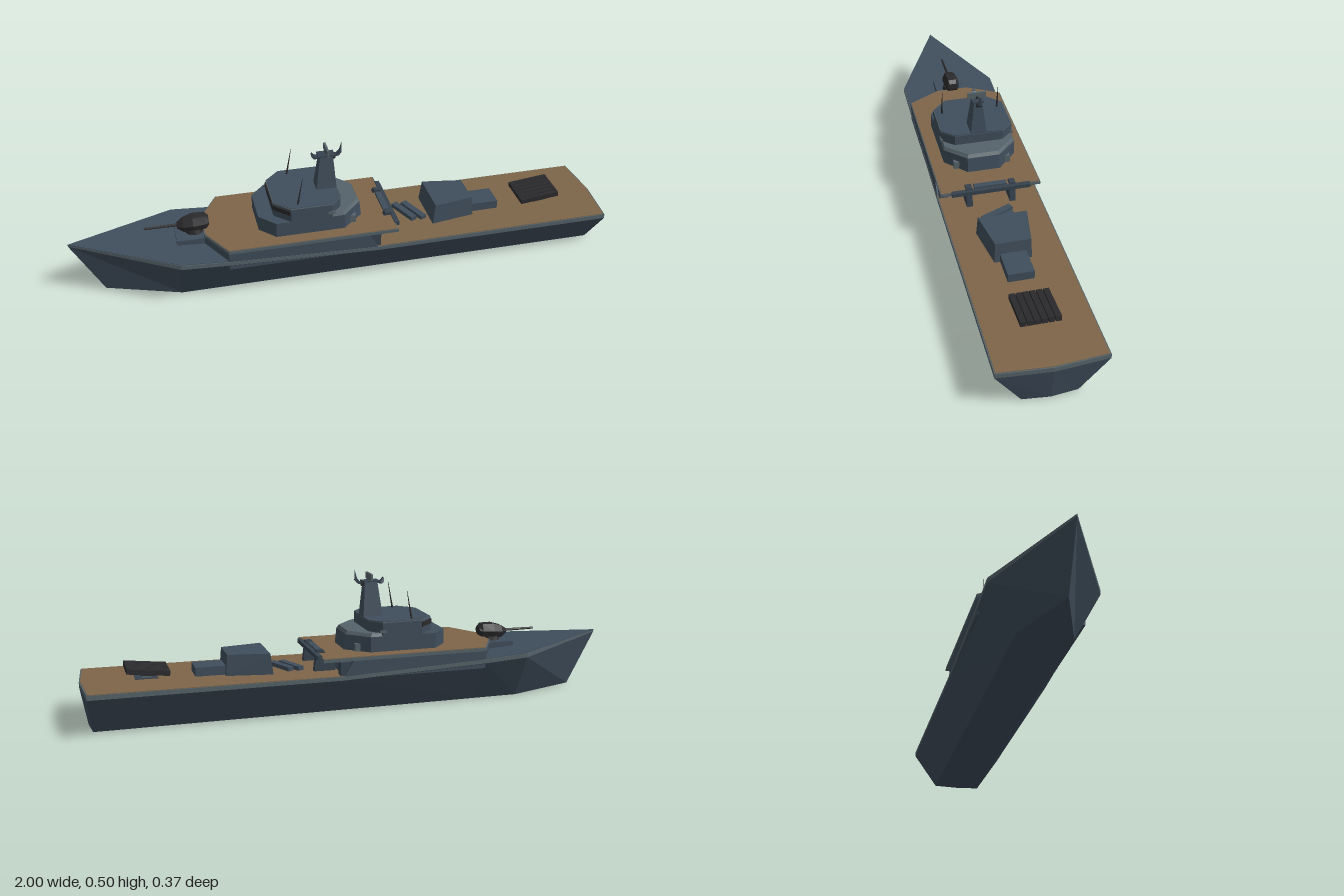
import * as THREE from 'three';

const paint = (color) => new THREE.MeshStandardMaterial({ color, flatShading: true });

export function createModel() {
  const ship = new THREE.Group();
  const grey = paint(0x3f4d5b), light = paint(0x55636a), wood = paint(0x7d6549);
  const dark = paint(0x2b2a2c), steel = paint(0x36424e);

  const add = (name, geometry, material, x = 0, y = 0, z = 0) => {
    const mesh = new THREE.Mesh(geometry, material);
    mesh.name = name;
    mesh.position.set(x, y, z);
    ship.add(mesh);
    return mesh;
  };
  // Box given by its limits on each axis
  const box = (name, mat, x0, x1, y0, y1, z0, z1) => add(name,
    new THREE.BoxGeometry(x1 - x0, y1 - y0, z1 - z0), mat, (x0 + x1) / 2, (y0 + y1) / 2, (z0 + z1) / 2);

  // Skin between equal-length rings of points, closed by a fan at each end
  const loft = (rings) => {
    const pos = [], n = rings[0].length;
    const tri = (a, b, c) => pos.push(...a, ...b, ...c);
    for (let i = 0; i + 1 < rings.length; i++) {
      for (let j = 0; j < n; j++) {
        const k = (j + 1) % n, [r, s] = [rings[i], rings[i + 1]];
        tri(r[j], r[k], s[k]);
        tri(r[j], s[k], s[j]);
      }
    }
    const first = rings[0], last = rings[rings.length - 1];
    for (let j = 1; j + 1 < n; j++) {
      tri(first[0], first[j + 1], first[j]);
      tri(last[0], last[j], last[j + 1]);
    }
    const g = new THREE.BufferGeometry();
    g.setAttribute('position', new THREE.Float32BufferAttribute(pos, 3));
    g.computeVertexNormals();
    return g;
  };
  // Upright block from a half outline [x, z] listed bow to stern, mirrored across z
  const outline = (half, y) => [...half.map(([x, z]) => [x, y, z]),
    ...half.slice().reverse().map(([x, z]) => [x, y, -z])];
  const block = (name, mat, half, y0, y1, top = half) =>
    add(name, loft([outline(half, y0), outline(top, y1)]), mat);

  // Hull stations: keel x, rim x, keel half width, rim half width, rim bottom, rim top
  const stations = [
    [-0.89, -1, 0, 0, 0.203, 0.21],
    [-0.62, -0.62, 0.093, 0.185, 0.168, 0.185],
    [-0.45, -0.45, 0.093, 0.185, 0.158, 0.173],
    [0.1, 0.1, 0.093, 0.185, 0.136, 0.15],
    [0.965, 0.985, 0.093, 0.185, 0.138, 0.155],
    [0.975, 1, 0, 0, 0.138, 0.155],
  ];
  add('hull', loft(stations.map(([k, x, b, w, r]) =>
    [[x, r, w], [k, 0, b], [k, 0, -b], [x, r, -w]])), grey);
  add('hullRim', loft(stations.map(([, x, , w, r, t]) =>
    [[x, t, w], [x, r, w], [x, r, -w], [x, t, -w]])), light);
  add('foreDeck', loft(stations.slice(0, 3).map(([, x, , w, , t]) => {
    const h = Math.max(0, w - 0.003);
    return [[x, t + 0.002, h], [x, t - 0.002, h], [x, t - 0.002, -h], [x, t + 0.002, -h]];
  })), grey);
  add('aftDeck', loft([[0.06, 0.15, 0.181], [0.981, 0.155, 0.181], [0.995, 0.155, 0]].map(([x, y, h]) =>
    [[x, y + 0.002, h], [x, y - 0.002, h], [x, y - 0.002, -h], [x, y + 0.002, -h]])), wood);

  // Raised midship deck with its overhang
  block('midshipWall', grey, [[-0.52, 0.06], [-0.45, 0.184], [0.1, 0.184]], 0.14, 0.206,
    [[-0.52, 0.06], [-0.45, 0.184], [0.06, 0.184]]);
  block('midshipDeckEdge', light, [[-0.52, 0.06], [-0.45, 0.185], [0.17, 0.185]], 0.205, 0.217);
  block('midshipDeck', wood, [[-0.516, 0.06], [-0.448, 0.182], [0.167, 0.182]], 0.214, 0.219);
  box('deckEndBar', steel, 0.165, 0.183, 0.207, 0.222, -0.145, 0.145);
  box('deckLocker', grey, 0.145, 0.167, 0.217, 0.228, -0.06, 0.06);
  for (const s of [-1, 1]) {
    const z = s * 0.08;
    const plate = [[0.1, 0.15], [0.18, 0.15], [0.17, 0.23], [0.145, 0.23], [0.13, 0.205], [0.11, 0.205]];
    const bracket = new THREE.ExtrudeGeometry(
      new THREE.Shape(plate.map(([x, y]) => new THREE.Vector2(x, y))), { depth: 0.022, bevelEnabled: false });
    add('overhangBracket', bracket, steel, 0, 0, z - 0.011);
    box('wallDoor', steel, 0.07, 0.106, 0.152, 0.2, s * 0.162 - 0.016, s * 0.162 + 0.016);
    box('sideLocker', light, -0.01, 0.03, 0.218, 0.248, s * 0.095 - 0.011, s * 0.095 + 0.011);
    box('sideLamp', light, -0.08, -0.055, 0.288, 0.297, s * 0.134 - 0.004, s * 0.134 + 0.004);
  }

  // Bridge and superstructure
  block('lowerHouse', grey, [[-0.325, 0.075], [-0.27, 0.135], [-0.02, 0.135], [0.06, 0.06]], 0.217, 0.275,
    [[-0.325, 0.075], [-0.27, 0.135], [-0.02, 0.135], [0.053, 0.06]]);
  block('aftHouseRoof', light, [[-0.1, 0.135], [-0.02, 0.135], [0.053, 0.06]], 0.274, 0.287,
    [[-0.1, 0.13], [-0.025, 0.13], [0.045, 0.055]]);
  const bridge = [[-0.27, 0.08], [-0.215, 0.135], [-0.065, 0.135], [-0.025, 0.09]];
  block('bridge', grey, bridge, 0.274, 0.324);
  block('bridgeRoof', light, bridge, 0.323, 0.327);
  block('bridgeRoofTop', grey, bridge.map(([x, z]) => [x * 0.99, z * 0.98]), 0.326, 0.329);
  block('bridgeWindows', dark, [[-0.273, 0.081], [-0.219, 0.135], [-0.2, 0.12]], 0.301, 0.318);

  // Mast, radar and aerials
  block('mast', grey, [[-0.1, 0.03], [-0.025, 0.03]], 0.327, 0.455, [[-0.083, 0.015], [-0.035, 0.015]]);
  box('mastPlatform', steel, -0.09, -0.028, 0.455, 0.46, -0.02, 0.02);
  box('mastSensor', dark, -0.04, -0.025, 0.44, 0.456, -0.009, 0.009);
  box('radarPost', dark, -0.06, -0.052, 0.458, 0.47, -0.005, 0.005);
  box('radarPanel', light, -0.06, -0.052, 0.462, 0.486, -0.034, 0.034);
  for (const [name, path] of [
    ['foreHorn', [[-0.08, 0.452, 0.01], [-0.1, 0.45, 0.012], [-0.108, 0.457, 0.008], [-0.111, 0.468, 0.003]]],
    ['aftHorn', [[-0.035, 0.45, 0.008], [-0.015, 0.453, 0.008], [-0.004, 0.466, 0.006], [0, 0.5, 0.0005]]],
  ]) {
    const dir = name === 'aftHorn' ? 1 : -1;
    const horn = loft(path.map(([x, y, w]) => {
      const t = Math.min(w, 0.006) * 0.6;
      return [[x - dir * t, y + t, w], [x + dir * t, y - t, w],
        [x + dir * t, y - t, -w], [x - dir * t, y + t, -w]];
    }));
    // Mirrored direction flips the winding, so both sides are shown
    const mat = steel.clone();
    mat.side = THREE.DoubleSide;
    add(name, horn, mat);
  }
  for (const z of [-0.107, 0.107]) {
    const whip = add('whipAerial', new THREE.CylinderGeometry(0.0007, 0.004, 0.107, 5), dark, -0.176, 0.379, z);
    whip.rotation.z = -0.18;
  }

  // Bow gun
  box('gunPlatform', grey, -0.62, -0.515, 0.165, 0.204, -0.06, 0.06);
  add('gunRing', new THREE.CylinderGeometry(0.03, 0.035, 0.016, 10), dark, -0.55, 0.21, 0);
  // Turret sections: x, bottom, top, half width
  add('gunTurret', loft([
    [-0.612, 0.225, 0.243, 0.012], [-0.59, 0.213, 0.257, 0.025], [-0.555, 0.211, 0.267, 0.032],
    [-0.51, 0.214, 0.267, 0.028], [-0.497, 0.23, 0.255, 0.022],
  ].map(([x, b, t, w]) => {
    const m = (b + t) / 2;
    return [[x, t, w * 0.6], [x, m, w], [x, b, w * 0.7], [x, b, -w * 0.7], [x, m, -w], [x, t, -w * 0.6]];
  })), dark);
  const barrel = add('gunBarrel', new THREE.CylinderGeometry(0.004, 0.0055, 0.13, 8), dark, -0.665, 0.236, 0);
  barrel.rotation.z = Math.PI / 2;

  // Aft deckhouse and slanted deck tubes
  block('aftHouse', grey, [[0.33, 0.092], [0.497, 0.066]], 0.15, 0.23, [[0.34, 0.088], [0.49, 0.063]]);
  box('aftHouseAnnex', grey, 0.49, 0.602, 0.15, 0.187, -0.046, 0.046);
  for (const x of [0.246, 0.283]) {
    const tube = add('deckTube', new THREE.BoxGeometry(0.024, 0.018, 0.122), grey, x, 0.159, -0.005);
    tube.rotation.y = 0.4;
  }

  // Stern launcher: a tilted row of six long cells
  box('launcherBase', steel, 0.73, 0.81, 0.152, 0.158, -0.03, 0.03);
  box('launcherPedestal', light, 0.75, 0.785, 0.155, 0.182, -0.018, 0.018);
  const launcher = new THREE.Group();
  launcher.name = 'launcher';
  launcher.position.set(0.767, 0.188, 0);
  launcher.rotation.z = 0.11;
  for (let i = 0; i < 6; i++) {
    const cell = new THREE.Mesh(new THREE.BoxGeometry(0.15, 0.018, 0.02), dark);
    cell.name = 'launcherCell';
    cell.position.z = (i - 2.5) * 0.023;
    launcher.add(cell);
  }
  const tray = new THREE.Mesh(new THREE.BoxGeometry(0.05, 0.012, 0.13), dark);
  tray.name = 'launcherTray';
  tray.position.y = -0.006;
  launcher.add(tray);
  ship.add(launcher);

  return ship;
}
